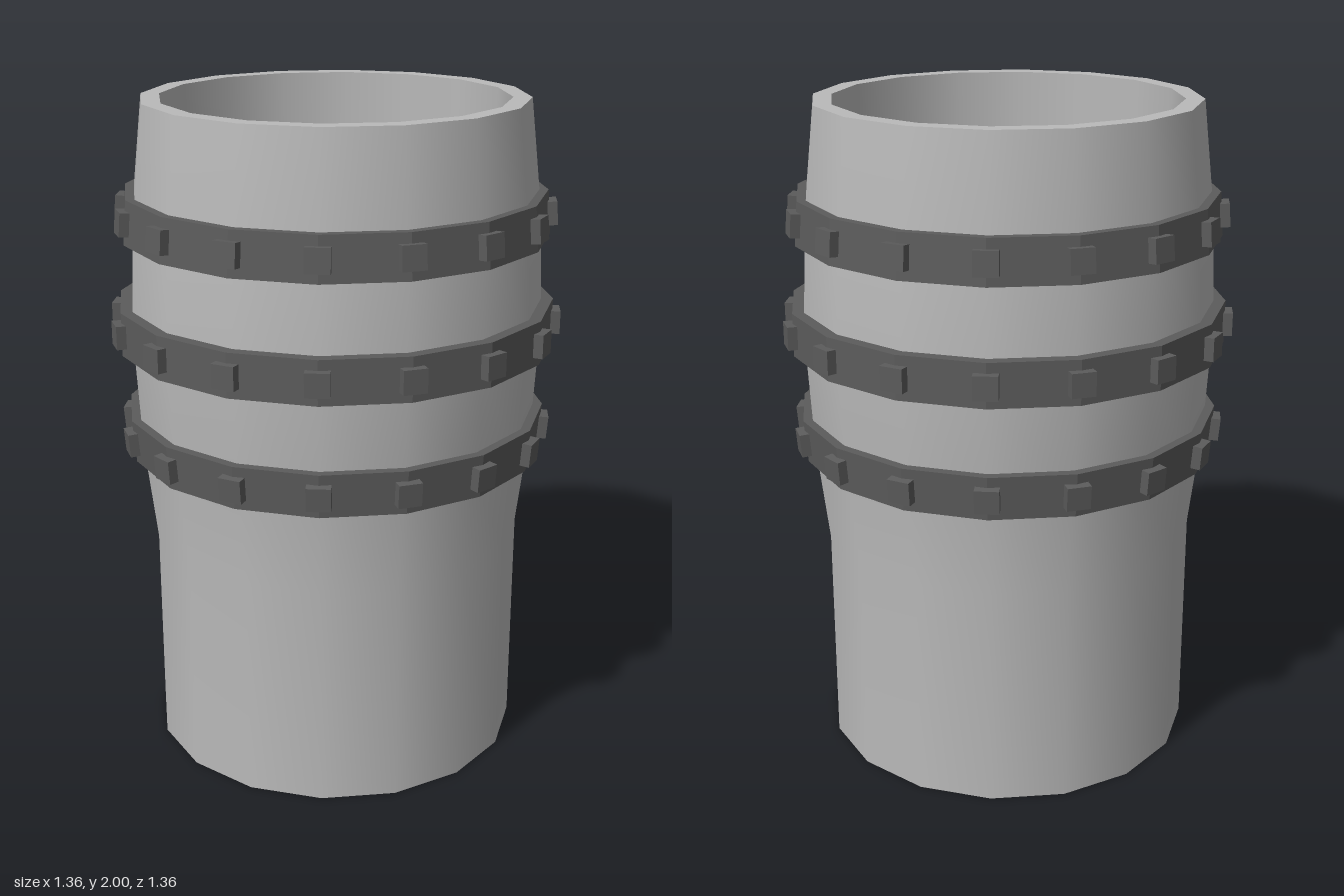
import * as THREE from 'three';
import { toCreasedNormals } from 'three/addons/utils/BufferGeometryUtils.js';

const SIDES = 16;

export function createModel() {
  const model = new THREE.Group();
  const shell = new THREE.MeshStandardMaterial({ color: 0xbababa, side: THREE.DoubleSide });
  const iron = new THREE.MeshStandardMaterial({ color: 0x5c5c5c });

  const add = (parent, name, geometry, material) => {
    const mesh = new THREE.Mesh(geometry, material);
    mesh.name = name;
    parent.add(mesh);
    return mesh;
  };
  const lathe = (points) =>
    new THREE.LatheGeometry(points.map(([r, y]) => new THREE.Vector2(r, y)), SIDES);

  // Bulging tube, open at the bottom
  add(model, 'body', lathe([
    [0.57, 0], [0.57, 0.68], [0.605, 0.98], [0.622, 1.3],
    [0.622, 1.37], [0.607, 1.68], [0.57, 2],
  ]), shell);

  // Flat rim with a shallow recess inside
  add(model, 'rim', new THREE.RingGeometry(0.515, 0.57, SIDES), shell)
    .rotateX(-Math.PI / 2).position.y = 2;
  add(model, 'recessWall', lathe([[0.515, 2], [0.515, 1.8]]), shell);
  add(model, 'recessFloor', new THREE.CircleGeometry(0.515, SIDES), shell)
    .rotateX(-Math.PI / 2).position.y = 1.8;

  // Studded bands that follow the taper of the body
  const bands = [
    { name: 'lowerBand', y: 1.003, r: 0.633, slope: 0.08 },
    { name: 'middleBand', y: 1.338, r: 0.656, slope: 0 },
    { name: 'upperBand', y: 1.668, r: 0.633, slope: -0.08 },
  ];
  const h = 0.065;
  const studGeometry = new THREE.BoxGeometry(0.07, 0.07, 0.05);
  for (const { name, y, r, slope } of bands) {
    const band = new THREE.Group();
    band.name = name;
    band.position.y = y;
    model.add(band);

    const d = slope * h;
    const hoop = lathe([
      [r - 0.05 - d, -h], [r - d, -h], [r + d, h], [r - 0.05 + d, h], [r - 0.05 - d, -h],
    ]);
    add(band, 'hoop', toCreasedNormals(hoop, 0.2), iron);

    for (let i = 0; i < SIDES; i++) {
      const stud = add(band, 'stud', studGeometry, iron);
      const a = (i / SIDES) * Math.PI * 2;
      stud.position.set(Math.sin(a) * (r - 0.003), 0, Math.cos(a) * (r - 0.003));
      stud.rotation.set(Math.atan(slope), a, 0, 'YXZ');
    }
  }
  return model;
}
